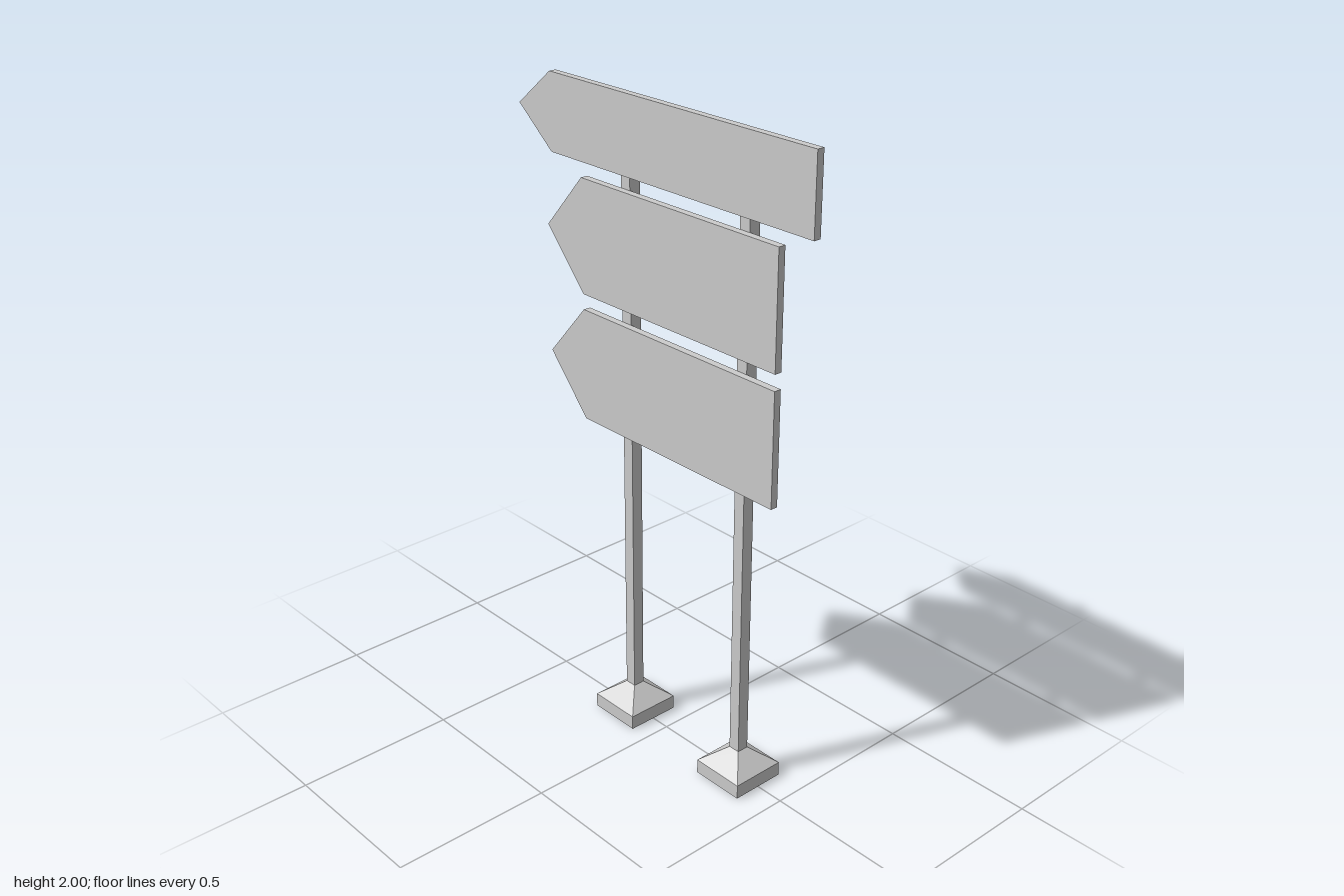
import * as THREE from 'three';

const material = new THREE.MeshStandardMaterial({ color: 0xcccccc, flatShading: true });

const POST_X = [-0.149, 0.321];
const POST = 0.037; // post thickness
const BASE = 0.173; // footing width
const BOARD_BACK = 0.0175;
const BOARD_DEPTH = 0.023;

function addMesh(parent, name, geometry, x = 0, y = 0, z = 0) {
  const mesh = new THREE.Mesh(geometry, material);
  mesh.name = name;
  mesh.position.set(x, y, z);
  parent.add(mesh);
  return mesh;
}

function polygon(points) {
  return new THREE.Shape(points.map(([x, y]) => new THREE.Vector2(x, y)));
}

// Board with a pointed end towards -x
function arrowBoard({ tip, shoulder, end, bottom, top }) {
  const shape = polygon([
    [tip, (bottom + top) / 2], [shoulder, bottom], [end, bottom], [end, top], [shoulder, top],
  ]);
  return new THREE.ExtrudeGeometry(shape, { depth: BOARD_DEPTH, bevelEnabled: false });
}

// Sheet-metal clamp: two flanges and a channel wrapped around the post
function clampGeometry(height) {
  const t = 0.0015, w = POST / 2, f = 0.0585, front = -0.0165, back = w;
  const shape = polygon([
    [-f, front], [-w, front], [-w, back], [w, back], [w, front], [f, front],
    [f, front + t], [w + t, front + t], [w + t, back + t],
    [-w - t, back + t], [-w - t, front + t], [-f, front + t],
  ]);
  const g = new THREE.ExtrudeGeometry(shape, { depth: height, bevelEnabled: false });
  return g.rotateX(-Math.PI / 2).translate(0, -height / 2, 0);
}

export function createModel() {
  const model = new THREE.Group();
  model.name = 'directionSign';

  // Posts on footings with a sloped upper part
  POST_X.forEach((x) => {
    const support = new THREE.Group();
    support.name = x < 0 ? 'rightSupport' : 'leftSupport';
    support.position.x = x;
    model.add(support);
    addMesh(support, 'footingSlab', new THREE.BoxGeometry(BASE, 0.045, BASE), 0, 0.0225);
    const slope = new THREE.CylinderGeometry(POST / Math.SQRT2, BASE / Math.SQRT2, 0.053, 4, 1, true);
    addMesh(support, 'footingSlope', slope.rotateY(Math.PI / 4), 0, 0.0715);
    addMesh(support, 'post', new THREE.BoxGeometry(POST, 1.93, POST), 0, 1.01);
  });

  // Three arrow boards, each held by a clamp on both posts
  const boards = [
    { name: 'topBoard', tip: -0.587, shoulder: -0.445, end: 0.585, bottom: 1.768, top: 2, clamp: 0.12 },
    { name: 'middleBoard', tip: -0.47, shoulder: -0.315, end: 0.466, bottom: 1.372, top: 1.722, clamp: 0.15 },
    { name: 'lowerBoard', tip: -0.47, shoulder: -0.315, end: 0.466, bottom: 0.974, top: 1.324, clamp: 0.15 },
  ];
  boards.forEach((b) => {
    addMesh(model, b.name, arrowBoard(b), 0, 0, BOARD_BACK);
    const middle = (b.bottom + b.top) / 2 + 0.01;
    POST_X.forEach((x) => addMesh(model, 'clamp', clampGeometry(b.clamp), x, middle, 0));
  });

  return model;
}
